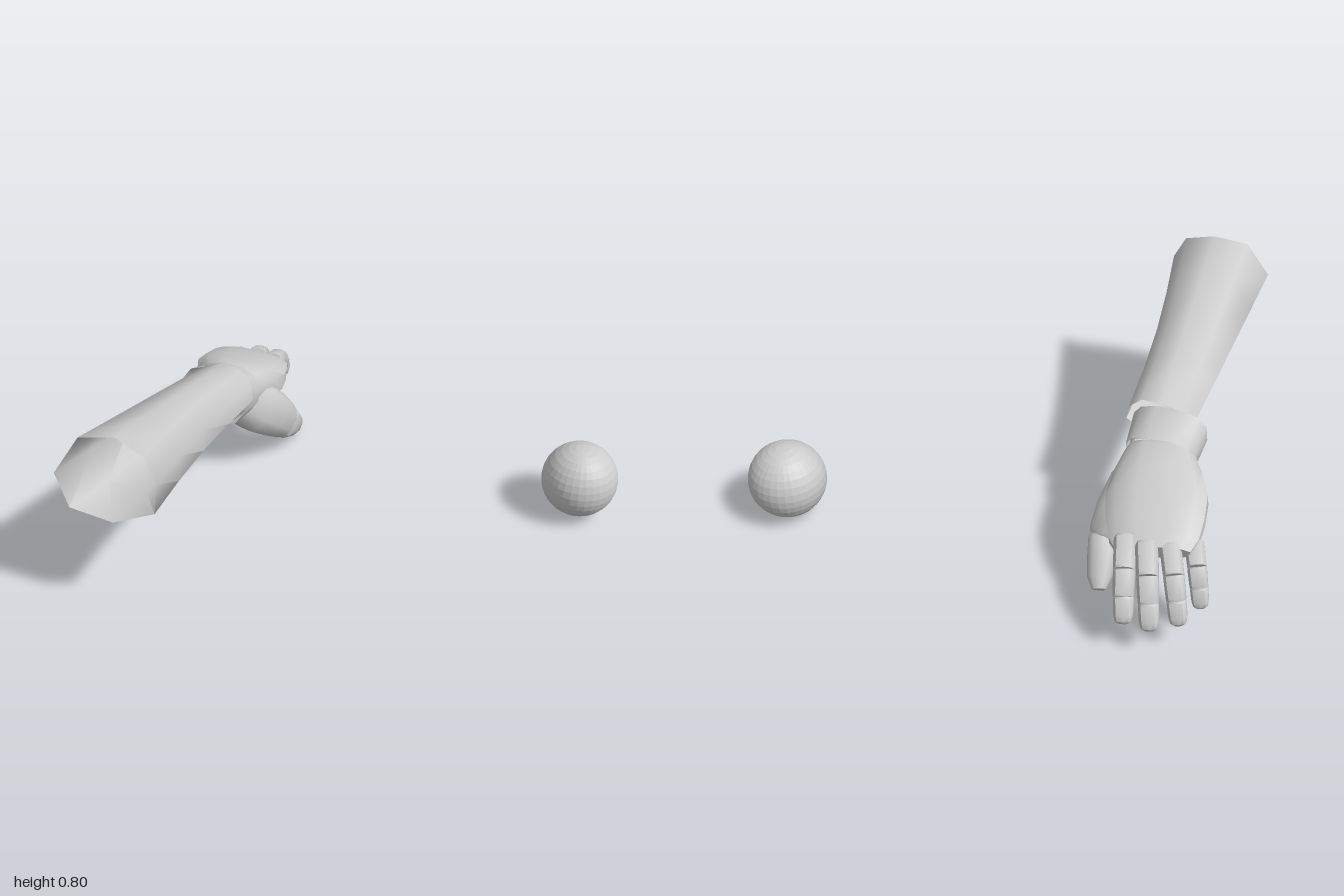
import * as THREE from 'three';
import { toCreasedNormals } from 'three/addons/utils/BufferGeometryUtils.js';

const V = (x, y, z) => new THREE.Vector3(x, y, z);
const grey = new THREE.MeshStandardMaterial({ color: 0xcccccc });
const faceted = new THREE.MeshStandardMaterial({ color: 0xcccccc, flatShading: true });
const thin = new THREE.MeshStandardMaterial({ color: 0xcccccc, side: THREE.DoubleSide });

// Direction across the hand, from little finger to thumb, and out of its back
const ACROSS = V(0.86, -0.06, -0.5).normalize();
const BACK = V(-0.2, 0.9, -0.38).normalize();

// Skin a list of rings (arrays of points), closing the ends when asked
function skin(name, rings, closed, crease = 0.75) {
  const n = rings[0].length, pos = [], index = [];
  rings.flat().forEach(p => pos.push(p.x, p.y, p.z));
  for (let i = 0; i < rings.length - 1; i++) {
    for (let j = 0; j < n; j++) {
      const a = i * n + j, b = i * n + (j + 1) % n;
      index.push(a, a + n, b, b, a + n, b + n);
    }
  }
  if (closed) {
    [0, rings.length - 1].forEach((r, end) => {
      const c = V(0, 0, 0);
      rings[r].forEach(p => c.addScaledVector(p, 1 / n));
      const k = pos.length / 3;
      pos.push(c.x, c.y, c.z);
      for (let j = 0; j < n; j++) {
        const a = r * n + j, b = r * n + (j + 1) % n;
        end ? index.push(k, b, a) : index.push(k, a, b);
      }
    });
  }
  const g = new THREE.BufferGeometry();
  g.setAttribute('position', new THREE.Float32BufferAttribute(pos, 3));
  g.setIndex(index);
  const mesh = new THREE.Mesh(toCreasedNormals(g, crease), closed ? grey : thin);
  mesh.name = name;
  return mesh;
}

// Softly squared oval ring at c, facing forward, half sizes w and h
function oval(c, forward, w, h, across, sides) {
  const W = across.clone().addScaledVector(forward, -across.dot(forward)).normalize();
  const N = W.clone().cross(forward).normalize();
  const soft = v => Math.sign(v) * Math.abs(v) ** 0.75;
  return Array.from({ length: sides }, (_, i) => {
    const a = (i + 0.5) / sides * Math.PI * 2;
    return c.clone().addScaledVector(W, w * soft(Math.cos(a))).addScaledVector(N, h * soft(Math.sin(a)));
  });
}

// Loft through sections [x, y, z, halfWidth, halfHeight]
function loft(name, sections, closed, across = ACROSS, sides = 12) {
  const pts = sections.map(s => V(s[0], s[1], s[2]));
  const rings = sections.map((s, i) => {
    const f = pts[Math.min(i + 1, pts.length - 1)].clone().sub(pts[Math.max(i - 1, 0)]).normalize();
    return oval(pts[i], f, s[3], s[4], across, sides);
  });
  return skin(name, rings, closed);
}

// One rigid finger segment from a to b; the last one has a blunt, rounded end
function segment(name, a, b, r0, r1, isTip) {
  const at = (t, r) => [...a.clone().lerp(b, t).toArray(), r, r * 1.08];
  const end = isTip ? [at(0.65, r1), at(0.9, r1 * 0.85), at(1, r1 * 0.5)] : [at(0.96, r1), at(1.02, r1 * 0.93)];
  return loft(name, [at(-0.04, r0 * 0.93), at(0.03, r0), ...end], true, ACROSS, 10);
}

function makeForearm() {
  const elbow = [
    V(-0.25, 0.63, 1.0), V(-0.19, 0.5, 0.99), V(-0.03, 0.48, 0.92), V(0.1, 0.54, 0.83),
    V(0.11, 0.67, 0.82), V(0.06, 0.77, 0.83), V(-0.06, 0.81, 0.86), V(-0.18, 0.785, 0.93)];
  const wrist = [
    V(-0.515, 0.49, 0.08), V(-0.43, 0.42, 0.07), V(-0.33, 0.425, 0.03), V(-0.265, 0.47, 0),
    V(-0.275, 0.53, 0), V(-0.33, 0.585, 0.005), V(-0.41, 0.595, 0.02), V(-0.48, 0.565, 0.06)];
  // Hollow along the thumb side, slight fullness underneath
  const rings = [0, 0.25, 0.5, 0.75, 1].map(t => elbow.map((p, i) => {
    const q = p.clone().lerp(wrist[i], t), s = Math.sin(t * Math.PI);
    if (i > 2 && i < 6) q.x -= 0.022 * s;
    if (i === 1 || i === 2) q.y -= 0.008 * Math.sin(t * Math.PI * 2);
    return q;
  }));
  return skin('forearm', rings, false, 1);
}

function makeHand() {
  const hand = new THREE.Group();
  hand.name = 'hand';
  // Open cuff with an inner wall
  hand.add(loft('wristCuff', [
    [-0.418, 0.455, 0.08, 0.148, 0.115], [-0.465, 0.415, -0.05, 0.137, 0.102]], false));
  hand.add(loft('cuffInnerWall', [
    [-0.419, 0.454, 0.078, 0.135, 0.102], [-0.464, 0.416, -0.046, 0.124, 0.09]], false));
  // Palm, wide and thick near the thumb root, flatter at the knuckles
  hand.add(loft('palm', [
    [-0.46, 0.416, -0.042, 0.125, 0.092], [-0.467, 0.411, -0.056, 0.135, 0.1],
    [-0.515, 0.387, -0.13, 0.17, 0.1], [-0.57, 0.362, -0.21, 0.194, 0.09],
    [-0.625, 0.337, -0.295, 0.186, 0.074], [-0.67, 0.314, -0.365, 0.168, 0.055],
    [-0.692, 0.3, -0.4, 0.14, 0.038]], true));

  // Fingers: base, tip, radius
  const fingers = [
    ['littleFinger', V(-0.785, 0.3, -0.27), V(-0.898, 0.132, -0.375), 0.038],
    ['ringFinger', V(-0.735, 0.315, -0.35), V(-0.878, 0.115, -0.483), 0.041],
    ['middleFinger', V(-0.665, 0.32, -0.4), V(-0.813, 0.115, -0.572), 0.043],
    ['indexFinger', V(-0.585, 0.318, -0.42), V(-0.727, 0.13, -0.615), 0.043]];
  fingers.forEach(([name, base, tip, r]) => {
    const finger = new THREE.Group();
    finger.name = name;
    const joint = (t, lift) => base.clone().lerp(tip, t).addScaledVector(BACK, lift);
    const path = [base, joint(0.42, 0.033), joint(0.72, 0.028), tip];
    ['Base', 'Middle', 'Tip'].forEach((part, i) => finger.add(
      segment(name + part, path[i], path[i + 1], r * (1 - 0.06 * i), r * (0.96 - 0.06 * i), i === 2)));
    hand.add(finger);
  });

  // Thumb: fleshy root, then the end segment
  const thumbSide = V(0.75, 0.3, 0.25);
  hand.add(loft('thumbRoot', [
    [-0.44, 0.375, -0.06, 0.08, 0.095], [-0.42, 0.3, -0.15, 0.098, 0.112],
    [-0.412, 0.225, -0.235, 0.086, 0.1], [-0.406, 0.16, -0.3, 0.064, 0.08],
    [-0.407, 0.15, -0.31, 0.056, 0.07]], true, thumbSide));
  hand.add(loft('thumbTip', [
    [-0.406, 0.16, -0.3, 0.052, 0.066], [-0.41, 0.143, -0.318, 0.058, 0.074],
    [-0.437, 0.1, -0.368, 0.053, 0.062], [-0.466, 0.056, -0.42, 0.044, 0.046],
    [-0.486, 0.029, -0.448, 0.026, 0.026]], true, thumbSide));
  return hand;
}

export function createModel() {
  const model = new THREE.Group();
  model.name = 'armAndBall';
  const ball = new THREE.Mesh(new THREE.SphereGeometry(0.155, 32, 16), faceted);
  ball.name = 'ball';
  ball.position.set(0.773, 0.175, -0.845);
  model.add(makeForearm(), makeHand(), ball);
  return model;
}
